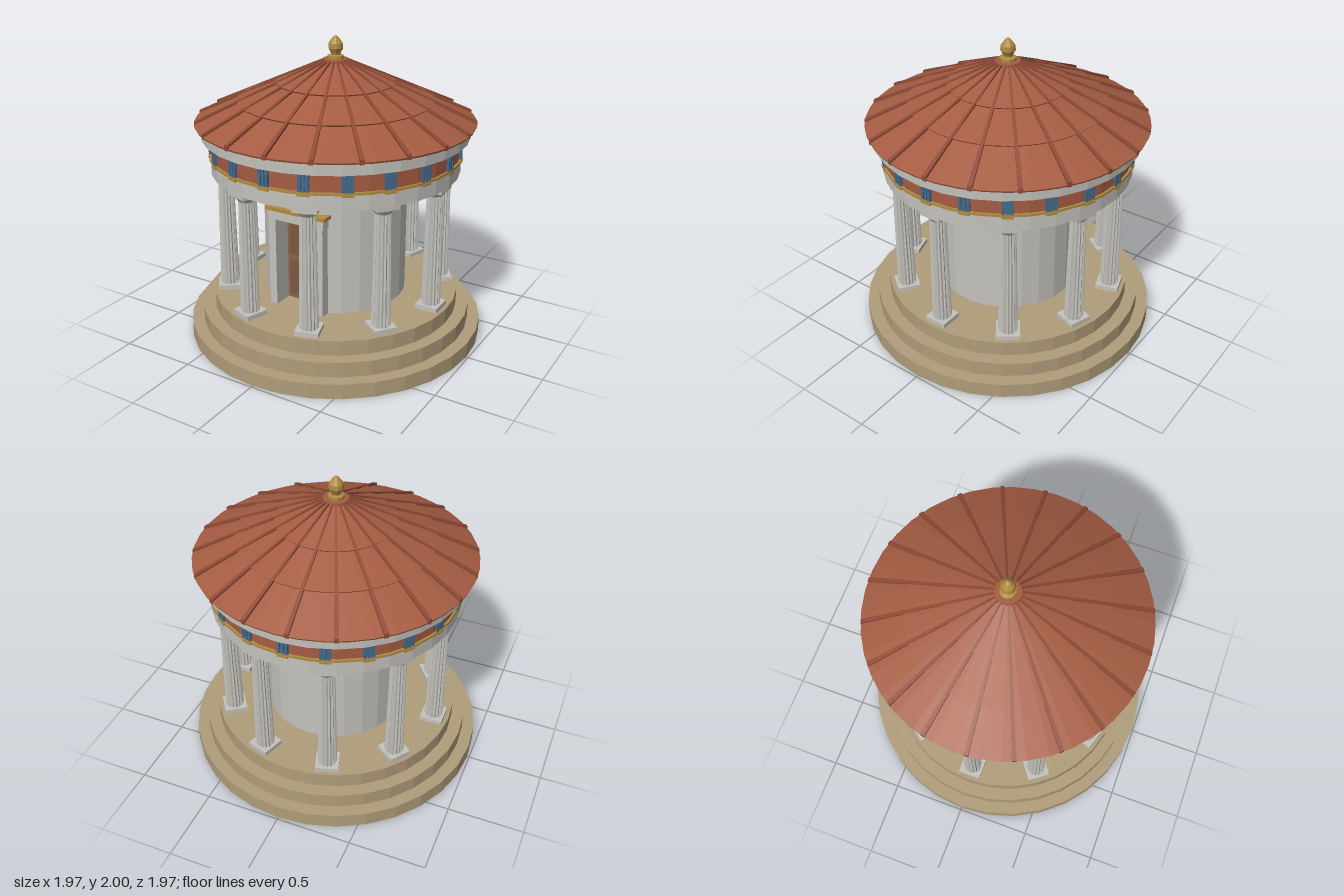
import * as THREE from 'three';

const paint = (name, color) => {
  const m = new THREE.MeshStandardMaterial({ color });
  m.name = name;
  return m;
};
const TAU = Math.PI * 2;

export function createModel() {
  const stone = paint('pale stone', 0xc4c2bc);
  const sand = paint('sandstone', 0xb09d7a);
  const tile = paint('terracotta', 0xa55c42);
  const rib = paint('dark terracotta', 0x8f4b36);
  const blue = paint('blue', 0x446a8c);
  const gold = paint('gold', 0xb18a3e);
  const wood = paint('door wood', 0x87634a);
  const woodDark = paint('door panel wood', 0x7b5840);
  const dark = paint('dark bronze', 0x4a3a22);

  const model = new THREE.Group();
  model.name = 'roundTemple';

  // faceted mesh helper
  const add = (parent, name, geometry, material) => {
    const g = geometry.index ? geometry.toNonIndexed() : geometry;
    g.computeVertexNormals();
    const mesh = new THREE.Mesh(g, material);
    mesh.name = name;
    parent.add(mesh);
    return mesh;
  };
  const drum = (parent, name, r0, r1, y0, y1, material, sides = 32) =>
    add(parent, name, new THREE.CylinderGeometry(r1, r0, y1 - y0, sides).translate(0, (y0 + y1) / 2, 0), material);
  const block = (parent, name, x0, x1, y0, y1, z0, z1, material) =>
    add(parent, name, new THREE.BoxGeometry(x1 - x0, y1 - y0, z1 - z0)
      .translate((x0 + x1) / 2, (y0 + y1) / 2, (z0 + z1) / 2), material);
  const lathe = (parent, name, points, sides, material) =>
    add(parent, name, new THREE.LatheGeometry(points.map(p => new THREE.Vector2(...p)), sides), material);
  // repeats a part around the y axis; local +x points outwards
  const ring = (name, count, offset, build) => {
    for (let i = 0; i < count; i++) {
      const g = new THREE.Group();
      g.name = name;
      g.rotation.y = offset + i * TAU / count;
      build(g);
      model.add(g);
    }
  };

  // stepped base
  [0.987, 0.907, 0.825].forEach((r, i) => drum(model, 'step', r, r, i * 0.1, i * 0.1 + 0.1, sand));

  // round chamber wall with an opening for the doorway
  const gap = 0.366;
  const wall = (name, y0, y1, segments, start, length) =>
    add(model, name, new THREE.CylinderGeometry(0.475, 0.475, y1 - y0, segments, 1, true, start, length)
      .translate(0, (y0 + y1) / 2, 0), stone);
  wall('chamberWall', 0.3, 1.14, 22, gap, TAU - 2 * gap);
  wall('wallAboveDoor', 0.93, 1.14, 3, -gap, 2 * gap);

  // doorway
  const door = new THREE.Group();
  door.name = 'doorway';
  model.add(door);
  block(door, 'lintel', -0.205, 0.205, 0.895, 0.955, 0.34, 0.49, stone);
  block(door, 'lintelCornice', -0.22, 0.22, 0.955, 0.977, 0.36, 0.5, gold);
  for (const s of [-1, 1]) {
    const side = (name, a, b, ...rest) => block(door, name, Math.min(s * a, s * b), Math.max(s * a, s * b), ...rest);
    side('jamb', 0.148, 0.2, 0.3, 0.895, 0.34, 0.49, stone);
    side('doorLeaf', 0.002, 0.15, 0.3, 0.896, 0.33, 0.355, wood);
    side('lowerPanel', 0.025, 0.128, 0.335, 0.575, 0.355, 0.362, woodDark);
    side('upperPanel', 0.025, 0.128, 0.615, 0.86, 0.355, 0.362, woodDark);
    add(door, 'doorKnob', new THREE.SphereGeometry(0.011, 8, 6).translate(s * 0.017, 0.595, 0.366), dark);
  }

  // fluted shaft: every other edge is pulled inwards
  const shaft = new THREE.CylinderGeometry(0.051, 0.062, 0.75, 32, 1, true);
  const sp = shaft.attributes.position;
  for (let i = 0; i < sp.count; i++) {
    const k = Math.round(Math.atan2(sp.getX(i), sp.getZ(i)) / (TAU / 32));
    if (k & 1) sp.setXYZ(i, sp.getX(i) * 0.87, sp.getY(i), sp.getZ(i) * 0.87);
  }
  shaft.translate(0.72, 0.705, 0);

  // columns
  ring('column', 10, 0, g => {
    block(g, 'plinth', 0.644, 0.796, 0.3, 0.33, -0.076, 0.076, stone);
    add(g, 'shaft', shaft, stone);
    lathe(g, 'capital', [[0.05, 1.075], [0.057, 1.085], [0.072, 1.105], [0.072, 1.112]], 16, stone).position.x = 0.72;
    block(g, 'abacus', 0.644, 0.796, 1.11, 1.142, -0.076, 0.076, stone);
  });

  // entablature
  drum(model, 'architrave', 0.812, 0.812, 1.14, 1.236, stone);
  drum(model, 'goldBand', 0.822, 0.822, 1.236, 1.252, gold);
  drum(model, 'frieze', 0.808, 0.808, 1.252, 1.372, tile);
  drum(model, 'cornice', 0.865, 0.867, 1.372, 1.456, stone);

  // triglyphs with gold pegs below
  ring('triglyph', 20, 0, g => {
    block(g, 'triglyphBack', 0.79, 0.811, 1.252, 1.372, -0.036, 0.036, blue);
    for (const z of [-0.025, 0, 0.025])
      block(g, 'triglyphBar', 0.8, 0.82, 1.252, 1.372, z - 0.009, z + 0.009, blue);
    block(g, 'regula', 0.79, 0.824, 1.226, 1.24, -0.036, 0.036, gold);
  });

  // roof in three overlapping tile courses
  const roofY = r => 1.462 + (0.905 - r) * 0.45;
  lathe(model, 'roof', [
    [0, 1.455], [0.9, 1.45], [0.905, roofY(0.905)], [0.625, roofY(0.625)],
    [0.632, roofY(0.632) + 0.012], [0.375, roofY(0.375)],
    [0.382, roofY(0.382) + 0.012], [0.07, roofY(0.07)], [0, roofY(0.07)],
  ], 40, tile);

  // tapered roof ribs
  const ribGeometry = new THREE.BoxGeometry(1, 1, 1);
  const rp = ribGeometry.attributes.position;
  for (let i = 0; i < rp.count; i++) {
    const t = rp.getX(i) + 0.5, r = 0.08 + t * 0.823;
    rp.setXYZ(i, r, roofY(r) + rp.getY(i) * 0.032, rp.getZ(i) * (0.01 + 0.018 * t));
  }
  ring('roofRib', 20, TAU / 80, g => add(g, 'rib', ribGeometry, rib));

  // finial
  drum(model, 'roofCollar', 0.082, 0.082, 1.825, 1.852, tile, 16);
  lathe(model, 'finial', [
    [0.052, 1.85], [0.052, 1.872], [0.03, 1.878], [0.032, 1.888],
    [0.048, 1.918], [0.045, 1.95], [0.02, 1.985], [0, 2],
  ], 10, gold);

  return model;
}
